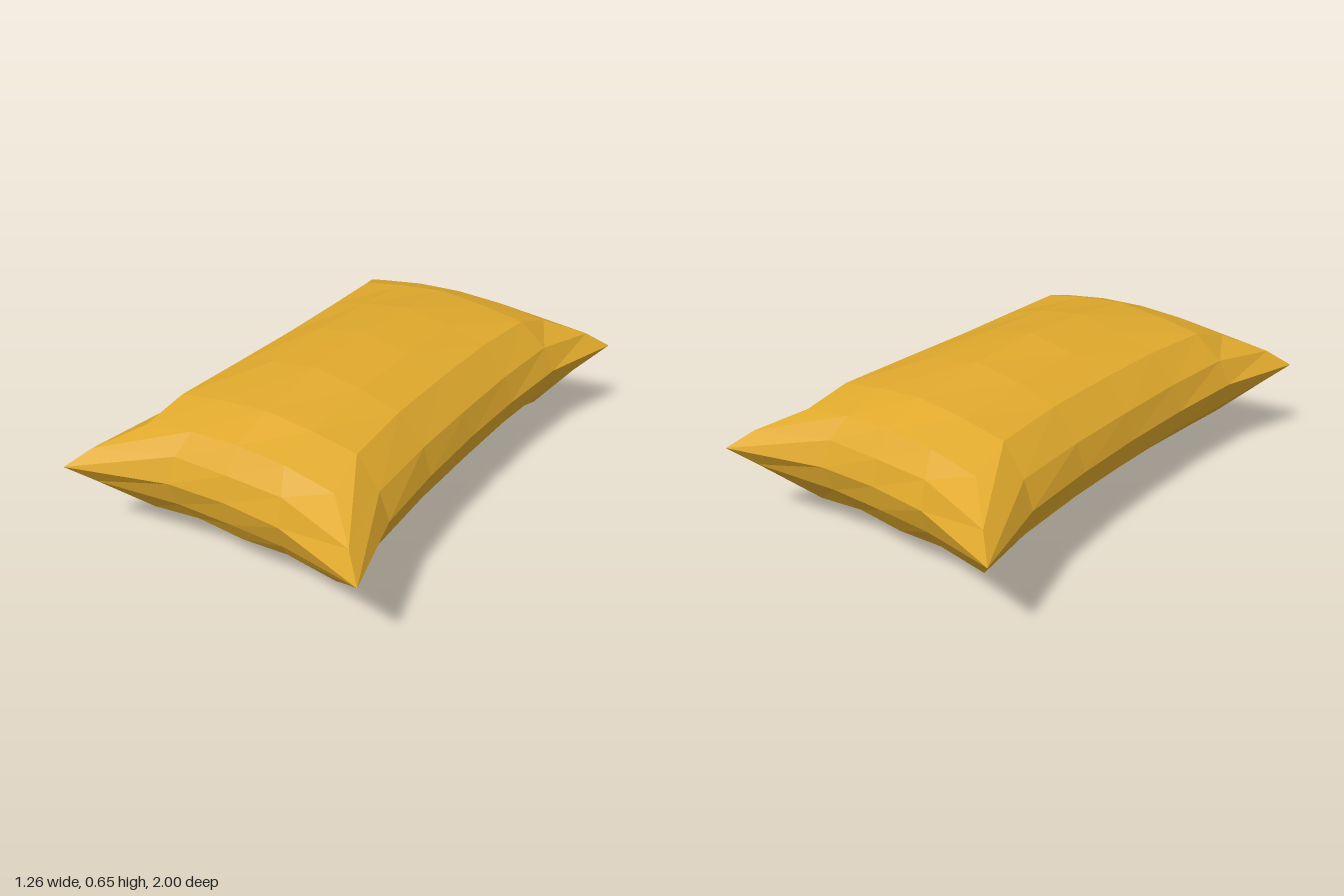
import * as THREE from 'three';

// Quarter profiles; index i runs out along x (0..2), j out along z (0..3)
const TOP = [[0.65, 0.637, 0.6, 0.54], [0.615, 0.605, 0.58, 0.53], [0.56, 0.56, 0.55, 0.498]];
const BOTTOM = [[0, 0.03, 0.07, 0.15], [0.035, 0.05, 0.09, 0.165], [0.135, 0.135, 0.135, 0.145]];

// Outline rings: x and z along the long sides (by j) and the short ends (by i)
const PANEL = { sideX: [0.355, 0.36, 0.38, 0.405], sideZ: [0, 0.32, 0.62, 0.79], endX: [0, 0.2, 0.405], endZ: [0.78, 0.782, 0.79] };
const SHOULDER = { sideX: [0.46, 0.463, 0.482, 0.55], sideZ: [0, 0.32, 0.64, 0.925], endX: [0, 0.23, 0.55], endZ: [0.842, 0.845, 0.925] };
const SEAM = { sideX: [0.49, 0.497, 0.528, 0.63], sideZ: [0, 0.32, 0.65, 1], endX: [0, 0.24, 0.63], endZ: [0.866, 0.88, 1] };

// Point on an outline ring, or inside a panel, for signed grid indices
function place(ring, i, j, y) {
  const a = Math.abs(i), b = Math.abs(j);
  const x = a === 2 ? ring.sideX[b] : ring.endX[a];
  const z = b === 3 ? ring.endZ[a] : ring.sideZ[b];
  return [Math.sign(i) * x, y, Math.sign(j) * z];
}

// Levels run 0..4: bottom panel, lower shoulder, seam, upper shoulder, top panel
function point(level, i, j) {
  const a = Math.abs(i), b = Math.abs(j);
  const corner = a === 2 && b === 3;
  if (level === 2) return place(SEAM, i, j, a === 2 && b < 2 ? 0.343 : 0.352);
  if (level === 1) return place(SHOULDER, i, j, corner ? 0.28 : b === 3 ? 0.25 : 0.237);
  if (level === 3) return place(SHOULDER, i, j, corner ? 0.42 : 0.45);
  const p = place(PANEL, i, j, (level === 4 ? TOP : BOTTOM)[a][b]);
  // the back end sags a little lower underneath
  if (level === 0 && j === -3) { p[1] -= 0.03; p[2] += 0.03; }
  return p;
}

function pillowGeometry() {
  const positions = [];
  const quad = (a, b, c, d) => positions.push(...a, ...b, ...c, ...a, ...c, ...d);

  // top and bottom panels
  for (let i = -2; i < 2; i++) {
    for (let j = -3; j < 3; j++) {
      quad(point(4, i, j + 1), point(4, i + 1, j + 1), point(4, i + 1, j), point(4, i, j));
      quad(point(0, i, j), point(0, i + 1, j), point(0, i + 1, j + 1), point(0, i, j + 1));
    }
  }

  // walk round the outline, counter-clockwise from above
  const loop = [];
  for (let i = -2; i < 2; i++) loop.push([i, 3]);
  for (let j = 3; j > -3; j--) loop.push([2, j]);
  for (let i = 2; i > -2; i--) loop.push([i, -3]);
  for (let j = -3; j < 3; j++) loop.push([-2, j]);

  // tapering bands between the panels and the seam
  for (let level = 0; level < 4; level++) {
    loop.forEach((a, k) => {
      const b = loop[(k + 1) % loop.length];
      quad(point(level, ...a), point(level, ...b), point(level + 1, ...b), point(level + 1, ...a));
    });
  }

  const geometry = new THREE.BufferGeometry();
  geometry.setAttribute('position', new THREE.Float32BufferAttribute(positions, 3));
  geometry.computeVertexNormals();
  return geometry;
}

export function createModel() {
  const group = new THREE.Group();
  group.name = 'pillow';
  const material = new THREE.MeshStandardMaterial({ color: 0xe0a92c, flatShading: true });
  const cushion = new THREE.Mesh(pillowGeometry(), material);
  cushion.name = 'cushion';
  group.add(cushion);
  return group;
}
